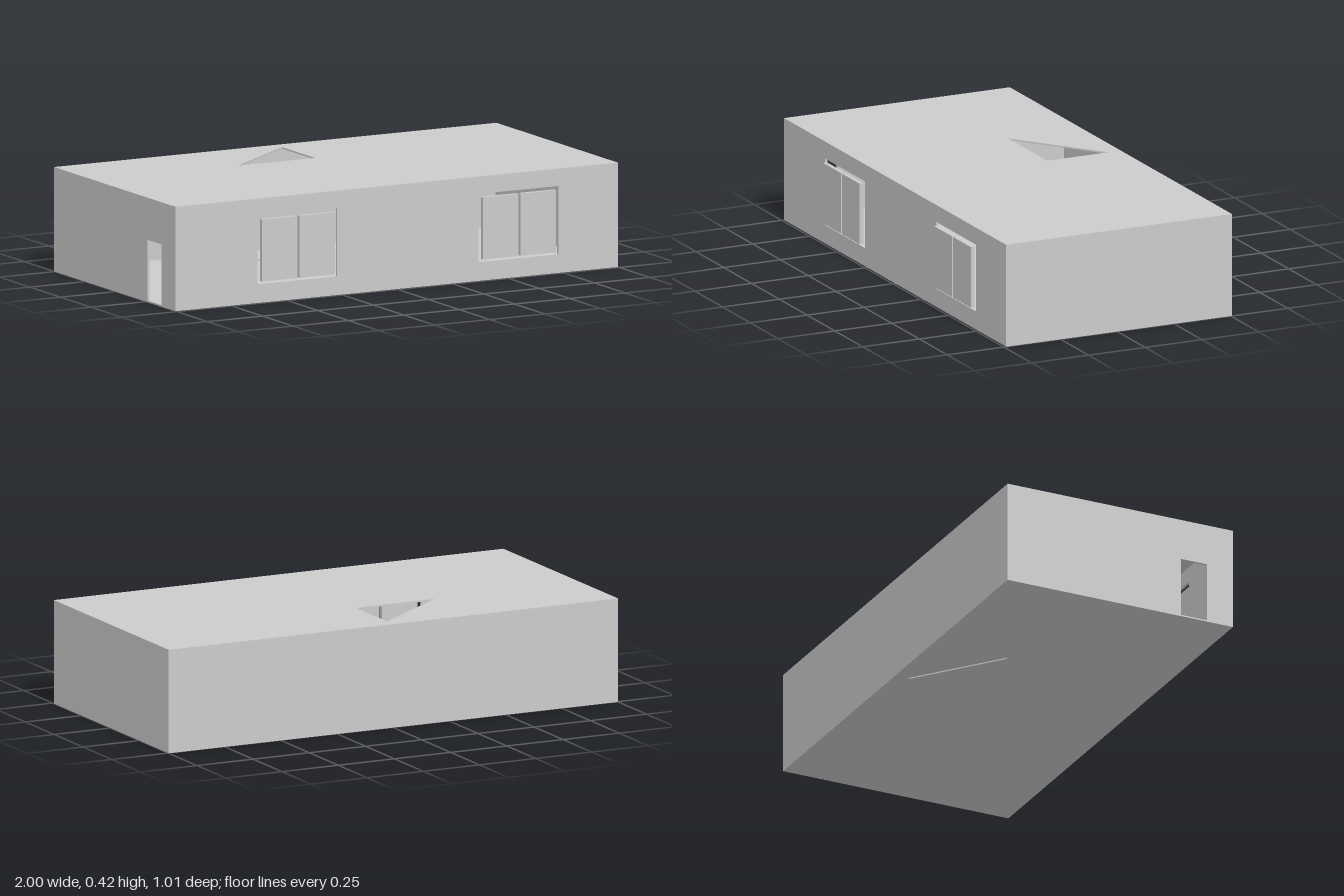
import * as THREE from 'three';

const material = new THREE.MeshStandardMaterial({ color: 0xcccccc });
const H = 0.42, T = 0.01, SLAB = 0.006;
const BACK = -0.505, FRONT = 0.49;

const points = list => list.map(([x, y]) => new THREE.Vector2(x, y));
const rect = (x0, y0, x1, y1) => [[x0, y0], [x1, y0], [x1, y1], [x0, y1]];

// Flat plate with cut-outs
function plate(outline, holes, depth) {
  const shape = new THREE.Shape(points(outline));
  holes.forEach(h => shape.holes.push(new THREE.Path(points(h))));
  return new THREE.ExtrudeGeometry(shape, { depth, bevelEnabled: false });
}

// Wall outline with a doorway notched up from the floor
const doorWall = (a, b, d0, d1, top) => [
  [a, SLAB], [d0, SLAB], [d0, top], [d1, top], [d1, SLAB],
  [b, SLAB], [b, H - SLAB], [a, H - SLAB]];

export function createModel() {
  const house = new THREE.Group();
  house.name = 'house';

  function add(name, geometry, x = 0, y = 0, z = 0) {
    const mesh = new THREE.Mesh(geometry, material);
    mesh.name = name;
    mesh.position.set(x, y, z);
    house.add(mesh);
  }
  // Horizontal plate, given in x and z
  const slab = (outline, hole) => {
    const flip = list => list.map(([x, z]) => [x, -z]);
    return plate(flip(outline), [flip(hole)], SLAB).rotateX(-Math.PI / 2);
  };
  // Plate in the z-y plane, running from x = 0 towards -x
  const sideWall = outline => plate(outline, [], T).rotateY(-Math.PI / 2);

  // Floor with a narrow slit, roof with a triangular opening
  const footprint = rect(-1, BACK, 1, FRONT);
  add('floor', slab(footprint, [[0, -0.45], [-0.35, -0.18], [-0.335, -0.18], [0, -0.438]]));
  add('roof', slab(footprint, [[0, -0.45], [-0.35, -0.18], [0, -0.18]]), 0, H - SLAB);

  // Outer walls
  const windows = [-0.45, 0.55];
  const openings = windows.map(x => rect(x - 0.18, 0.075, x + 0.18, 0.35));
  const wallFace = rect(-1, SLAB, 1, H - SLAB);
  add('frontWall', plate(wallFace, openings, T), 0, 0, FRONT - T);
  add('backWall', plate(wallFace, [], T), 0, 0, BACK);
  const z0 = BACK + T, z1 = FRONT - T;
  add('plainSideWall', sideWall(rect(z0, SLAB, z1, H - SLAB)), 1);
  add('entranceWall', sideWall(doorWall(z0, z1, 0.26, 0.375, 0.25)), -1 + T);

  // Inner partitions around the back room
  add('partitionWithDoorway', sideWall(doorWall(z0, -0.18, -0.38, -0.26, 0.25)), -0.49);
  add('partitionStub', new THREE.BoxGeometry(0.14, H - 2 * SLAB, T), -0.42, H / 2, -0.185);

  // Paired window panels standing proud of the front wall
  for (const x of windows) {
    for (const side of [-1, 1]) {
      add('windowPanel', new THREE.BoxGeometry(0.16, 0.25, 0.017), x - 0.003 + side * 0.085, 0.2125, 0.4965);
    }
  }
  return house;
}
